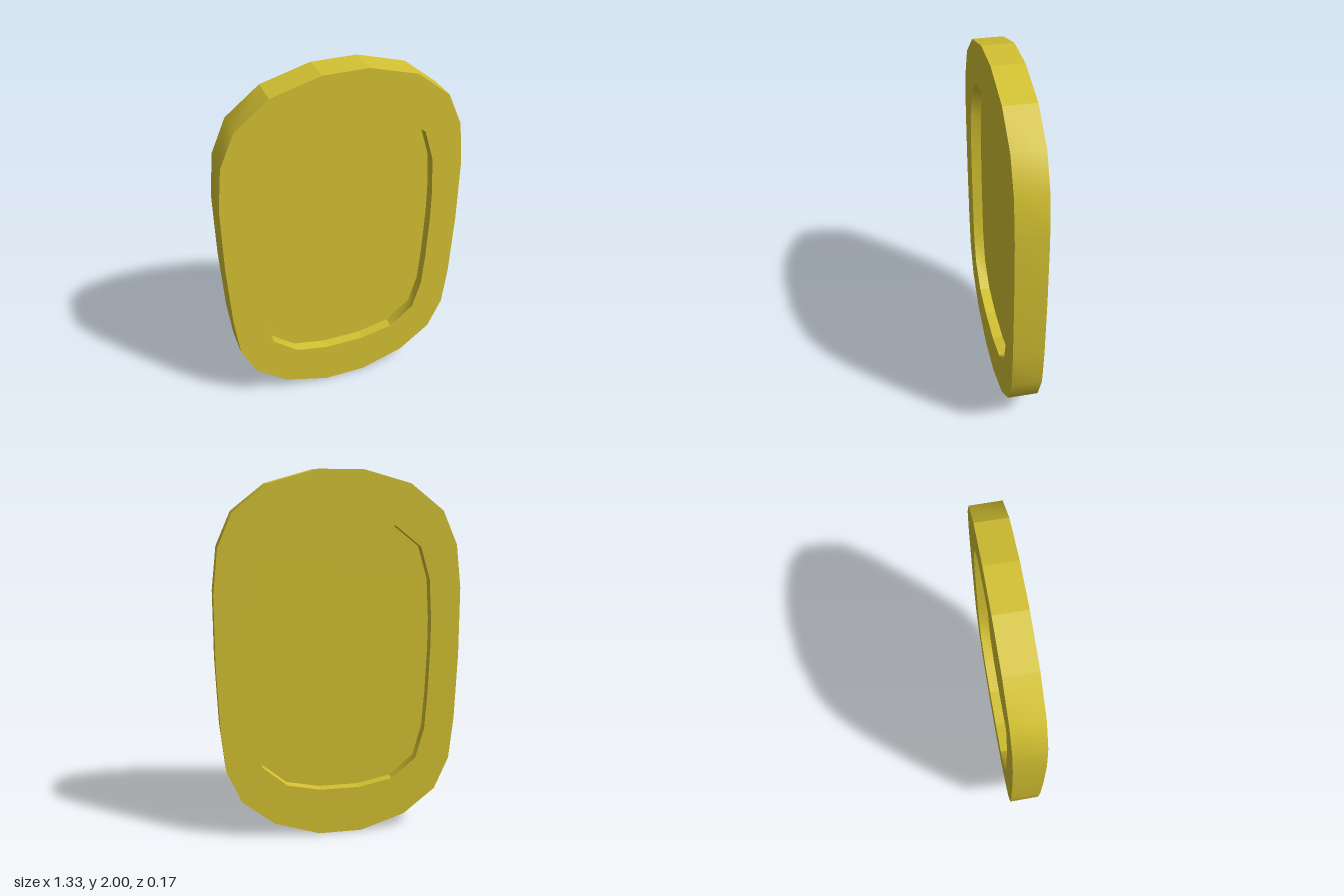
import * as THREE from 'three';

const HALF = 0.083;   // half thickness of the rim
const FLOOR = 0.025;  // half thickness of the recessed plate

// Right halves of the outlines, top to bottom
const OUTER = [[0.12, 2], [0.38, 1.927], [0.56, 1.785], [0.64, 1.605], [0.667, 1.37], [0.667, 1.0],
  [0.652, 0.63], [0.627, 0.398], [0.547, 0.22], [0.37, 0.08], [0.12, 0]];
const INNER = [[0.11, 1.75], [0.3, 1.707], [0.44, 1.595], [0.492, 1.42], [0.505, 1.2], [0.505, 1.04],
  [0.495, 0.78], [0.48, 0.58], [0.432, 0.412], [0.295, 0.298], [0.11, 0.26]];

// Complete clockwise outline, mirrored about x = 0
const outline = (half) =>
  [...half, ...half.slice().reverse().map(([x, y]) => [-x, y])].map(([x, y]) => new THREE.Vector2(x, y));

// Wall along a run of points, smooth within the run
function ribbon(points, z0, z1) {
  const position = [], index = [];
  points.forEach((p, i) => {
    position.push(p.x, p.y, z0, p.x, p.y, z1);
    if (i) {
      const a = 2 * i - 2;
      index.push(a, a + 1, a + 2, a + 1, a + 3, a + 2);
    }
  });
  const g = new THREE.BufferGeometry();
  g.setAttribute('position', new THREE.Float32BufferAttribute(position, 3));
  g.setIndex(index);
  g.computeVertexNormals();
  return g;
}

export function createModel() {
  const group = new THREE.Group();
  group.name = 'recessedOvalPlate';
  const material = new THREE.MeshStandardMaterial({ color: 0xd4c232 });
  const add = (parent, name, geometry) => {
    const mesh = new THREE.Mesh(geometry, material);
    mesh.name = name;
    parent.add(mesh);
    return mesh;
  };

  // Walls: rounded sides, with flat facets at the top and bottom
  const addWall = (parent, name, half, z0, z1, inward) => {
    const wall = new THREE.Group();
    wall.name = name;
    parent.add(wall);
    const p = outline(half);
    const runs = [[0, 1], [1, 9], [9, 10], [10, 11], [11, 12], [12, 20], [20, 21], [21, 22]];
    for (const [from, to] of runs) {
      const run = [];
      for (let i = from; i <= to; i++) run.push(p[i % p.length]);
      if (inward) run.reverse();
      add(wall, 'wallSection', ribbon(run, z0, z1));
    }
  };
  addWall(group, 'outerEdge', OUTER, -HALF, HALF, false);

  // Front and back share the same raised rim and recessed panel
  const rim = new THREE.Shape(outline(OUTER));
  rim.holes.push(new THREE.Path(outline(INNER)));
  const panel = new THREE.Shape(outline(INNER));
  for (const name of ['frontFace', 'backFace']) {
    const face = new THREE.Group();
    face.name = name;
    add(face, 'rim', new THREE.ShapeGeometry(rim)).position.z = HALF;
    add(face, 'recessedPanel', new THREE.ShapeGeometry(panel)).position.z = FLOOR;
    addWall(face, 'recessWall', INNER, FLOOR, HALF, true);
    if (name === 'backFace') face.rotation.y = Math.PI;
    group.add(face);
  }
  return group;
}
